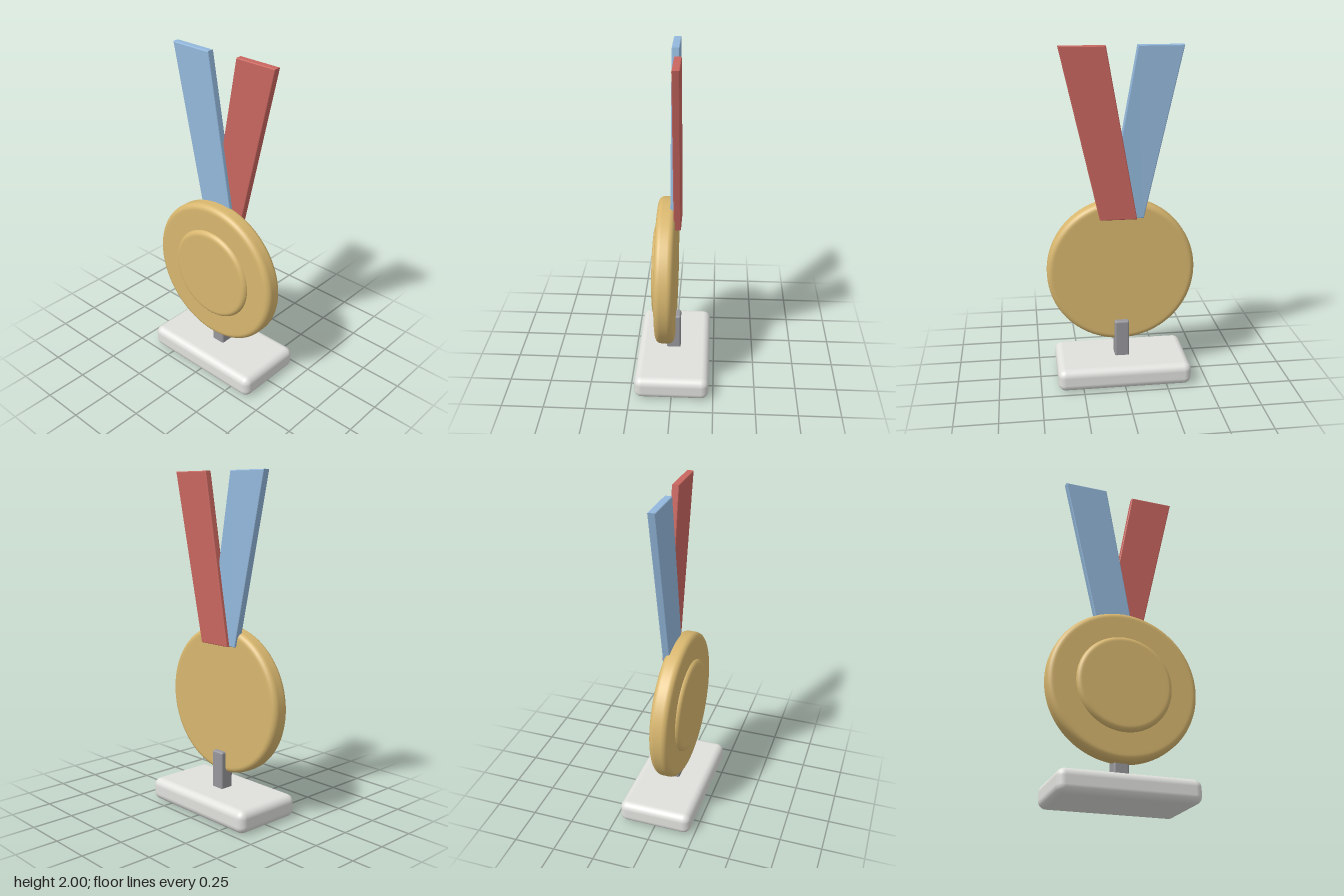
import * as THREE from 'three';
import { RoundedBoxGeometry } from 'three/addons/geometries/RoundedBoxGeometry.js';

const material = (name, color) => {
  const m = new THREE.MeshStandardMaterial({ color });
  m.name = name;
  return m;
};

export function createModel() {
  const model = new THREE.Group();
  model.name = 'medalOnStand';
  const gold = material('gold', 0xd8b76f);
  const blue = material('blue', 0x93b8dc);
  const red = material('red', 0xc9665f);
  const white = material('white', 0xe0e0dd);
  const grey = material('grey', 0x97979c);

  const add = (name, geometry, mat, x = 0, y = 0, z = 0) => {
    const mesh = new THREE.Mesh(geometry, mat);
    mesh.name = name;
    mesh.position.set(x, y, z);
    model.add(mesh);
    return mesh;
  };

  // Disc with rounded rims, its axis along z
  const disc = (radius, back, front, r) => {
    const pts = [new THREE.Vector2(0, back), new THREE.Vector2((radius - r) * 0.97, back)];
    for (const [cz, start] of [[back + r, -Math.PI / 2], [front - r, 0]]) {
      for (let i = 0; i <= 8; i++) {
        const a = start + (i / 8) * Math.PI / 2;
        pts.push(new THREE.Vector2(radius - r + r * Math.cos(a), cz + r * Math.sin(a)));
      }
    }
    pts.push(new THREE.Vector2((radius - r) * 0.97, front), new THREE.Vector2(0, front));
    return new THREE.LatheGeometry(pts, 96).rotateX(Math.PI / 2);
  };

  // Tapered ribbon leaning outwards; side is -1 or 1
  const ribbon = (side, back, front) => {
    const b = 0.006;
    const corners = [[-0.088, 1.005], [0.13, 1.005], [0.353, 2], [0.09, 2]];
    const shape = new THREE.Shape(corners.map(([x, y]) => new THREE.Vector2(side * x, y)));
    return new THREE.ExtrudeGeometry(shape, {
      depth: front - back - 2 * b, bevelEnabled: true, bevelThickness: b,
      bevelSize: b, bevelOffset: -b, bevelSegments: 3,
    }).translate(0, 0, back + b);
  };

  // Stand
  add('base', new RoundedBoxGeometry(0.8, 0.135, 0.445, 6, 0.045), white, 0, 0.0675, 0);
  add('post', new RoundedBoxGeometry(0.088, 0.28, 0.088, 3, 0.012), grey, 0, 0.22, 0.002);

  // Medal
  add('medalDisc', disc(0.443, -0.011, 0.098, 0.034), gold, 0, 0.67, 0);
  add('raisedCentre', disc(0.283, 0.05, 0.121, 0.03), gold, 0, 0.67, 0);

  // Crossed ribbons
  add('rightRibbon', ribbon(-1, -0.024, 0.02), blue);
  add('leftRibbon', ribbon(1, -0.045, -0.003), red);

  return model;
}
